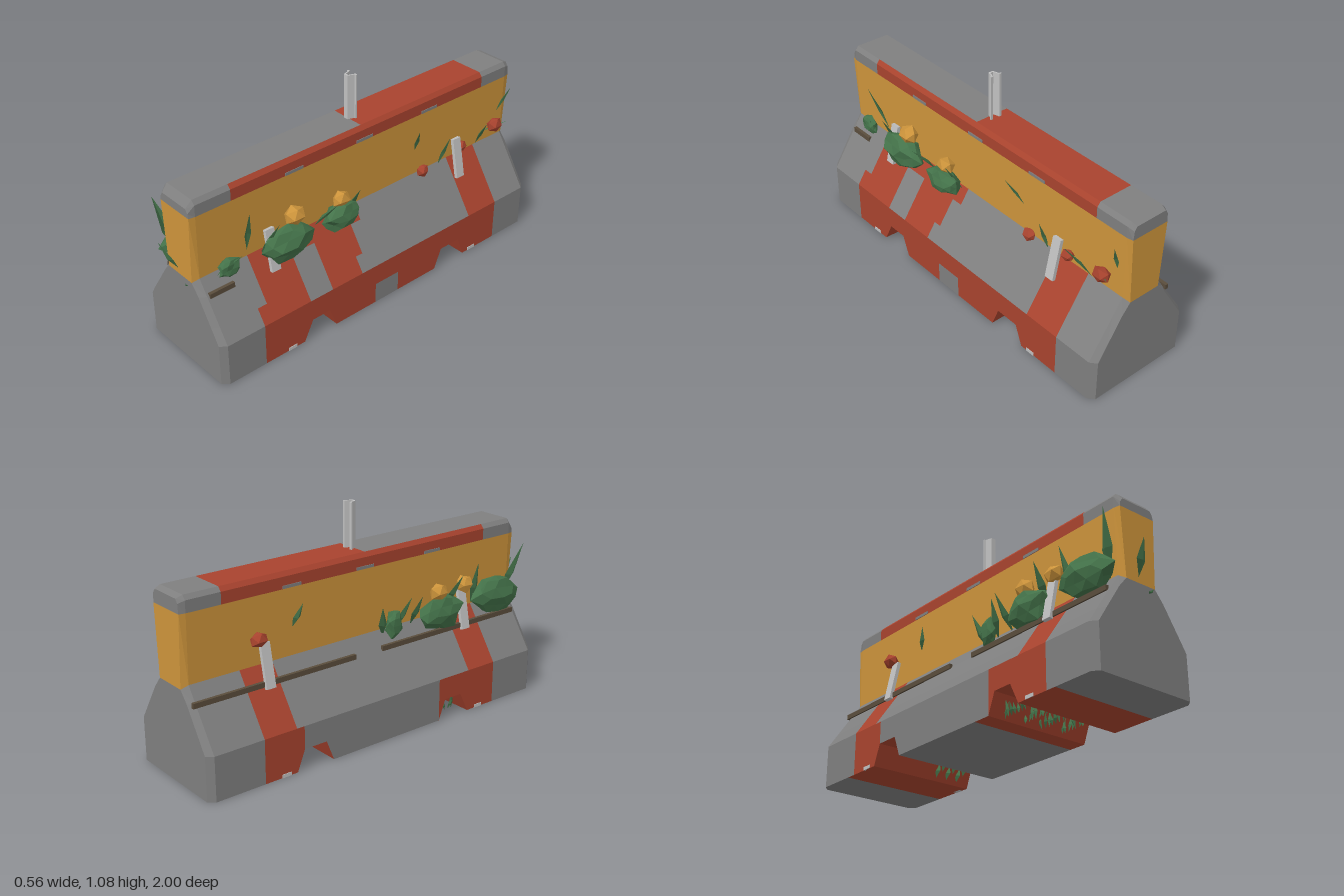
import * as THREE from 'three';

const mat = (name, color, extra = {}) =>
  new THREE.MeshStandardMaterial({ name, color, flatShading: true, side: THREE.DoubleSide, ...extra });
const M = {
  concrete: mat('concrete grey', 0x7f7f7f),
  red: mat('red paint', 0xa8432e),
  orange: mat('orange paint', 0xcd943b),
  green: mat('leaf green', 0x44734a),
  metal: mat('pale metal', 0xc0c0c0),
  brown: mat('rusty brown', 0x5a4d3c),
};

function add(parent, name, geometry, material, x = 0, y = 0, z = 0) {
  const mesh = new THREE.Mesh(geometry, material);
  mesh.name = name;
  mesh.position.set(x, y, z);
  parent.add(mesh);
  return mesh;
}

// Half cross-section from the foot to the crown, and how far each point draws in at the ends
const PROFILE = [[0.275, 0], [0.275, 0.105], [0.275, 0.21], [0.228, 0.28], [0.147, 0.4],
  [0.1, 0.47], [0.105, 0.785], [0.105, 0.84], [0.088, 0.86]];
const INSET = [0.025, 0.025, 0.025, 0.023, 0.02, 0.017, 0.006, 0.01, 0.006];
const STATIONS = [-1, -0.97, -0.8, -0.77, -0.72, -0.58, -0.55, -0.51, -0.39, -0.35, -0.1, -0.02, 0.03,
  0.045, 0.09, 0.13, 0.2, 0.29, 0.31, 0.33, 0.43, 0.44, 0.48, 0.5, 0.65, 0.7, 0.72, 0.9, 0.93];

// Height of the underside: two drainage notches
function floorY(z) {
  const notch = (a, b, c, d) => (z <= a || z >= d ? 0 : z < b ? (z - a) / (b - a) : z > c ? (d - z) / (d - c) : 1);
  return 0.1 * Math.max(notch(-0.55, -0.51, -0.39, -0.35), notch(0.29, 0.33, 0.43, 0.48));
}

// Which paint covers a face, by profile row, side and position along the barrier
function paint(row, side, z) {
  const within = (a, b) => z > a && z < b;
  if (row === 'under') return within(-0.77, -0.35) || within(0.2, 0.7) ? 'red' : 'concrete';
  if (row === 'crown') return within(-0.8, -0.02) ? 'red' : 'concrete';
  if (row === 5) return 'orange';
  if (row > 5) return within(-0.8, 0.72) ? 'red' : 'concrete';
  let red;
  if (side > 0) {
    if (row === 0) red = within(-0.77, 0.7) && !within(-0.1, 0.045);
    else if (row === 1) red = within(-0.77, 0.7);
    else {
      const start = [0.13, 0.09, 0.03][row - 2];
      red = within(-0.77, -0.58) || within(start, row === 2 ? 0.7 : 0.65);
      if (row < 4 && within(0.31, 0.44)) red = false;
    }
  } else if (row < 2) red = within(-0.72, -0.51) || within(0.29, 0.65);
  else red = within(-0.72, -0.55) || within(0.48, 0.65);
  return red ? 'red' : 'concrete';
}

function barrier(group) {
  const faces = { concrete: [], red: [], orange: [] };
  const quad = (key, a, b, c, d) => faces[key].push(...a, ...b, ...c, ...a, ...c, ...d);
  const last = PROFILE.length - 1;
  const rings = STATIONS.map((z, i) => {
    const end = i === 0 || i === STATIONS.length - 1;
    const drop = end ? (z > 0 ? 0.034 : 0.012) : 0;
    const half = PROFILE.map(([x, y], k) => [
      x - (end ? INSET[k] : 0),
      k === 0 ? floorY(z) : k > 6 ? y - drop : end && k === 5 ? 0.452 : y, z]);
    return { right: half, left: half.map(([x, y]) => [-x, y, z]) };
  });
  for (let i = 0; i < rings.length - 1; i++) {
    const p = rings[i], q = rings[i + 1], z = (STATIONS[i] + STATIONS[i + 1]) / 2;
    for (let k = 0; k < last; k++) {
      quad(paint(k, 1, z), p.right[k], p.right[k + 1], q.right[k + 1], q.right[k]);
      quad(paint(k, -1, z), p.left[k + 1], p.left[k], q.left[k], q.left[k + 1]);
    }
    quad(paint('crown', 0, z), p.right[last], p.left[last], q.left[last], q.right[last]);
    quad(paint('under', 0, z), p.left[0], p.right[0], q.right[0], q.left[0]);
  }
  // End faces, row by row
  const back = rings[0], front = rings[rings.length - 1];
  for (let k = 0; k < last; k++) {
    const key = k === 5 ? 'orange' : 'concrete';
    quad(key, front.right[k], front.right[k + 1], front.left[k + 1], front.left[k]);
    quad(key, back.left[k], back.left[k + 1], back.right[k + 1], back.right[k]);
  }
  for (const key in faces) {
    const g = new THREE.BufferGeometry();
    g.setAttribute('position', new THREE.Float32BufferAttribute(faces[key], 3));
    g.computeVertexNormals();
    add(group, `barrierBody ${key}`, g, M[key]);
  }
}

// Irregular faceted lump for bushes and blossoms
function lump(parent, name, material, [x, y, z], [sx, sy, sz], detail, seed) {
  const g = new THREE.IcosahedronGeometry(1, detail);
  const p = g.attributes.position, v = new THREE.Vector3();
  for (let i = 0; i < p.count; i++) {
    v.fromBufferAttribute(p, i);
    v.multiplyScalar(1 + 0.2 * Math.sin(v.x * 4 + seed) * Math.cos(v.y * 5 + v.z * 3 + seed * 2));
    p.setXYZ(i, v.x * sx, v.y * sy, v.z * sz);
  }
  g.computeVertexNormals();
  add(parent, name, g, material, x, y, z);
}

// Pointed leaf with a raised midrib
function leaf(parent, base, tip, width, acrossX = false) {
  const a = new THREE.Vector3(...base), t = new THREE.Vector3(...tip);
  const side = acrossX ? new THREE.Vector3(width / 2, 0, 0) : new THREE.Vector3(0, 0, width / 2);
  const mid = a.clone().lerp(t, 0.42);
  const rib = mid.clone().add(side.clone().cross(t.clone().sub(a)).normalize().multiplyScalar(width * 0.3));
  const l = mid.clone().sub(side), r = mid.clone().add(side);
  const g = new THREE.BufferGeometry().setFromPoints([a, r, rib, r, t, rib, t, l, rib, l, a, rib]);
  g.computeVertexNormals();
  add(parent, 'leaf', g, M.green);
}

export function createModel() {
  const root = new THREE.Group();
  root.name = 'roadBarrier';
  barrier(root);

  // Lifting slots under the cap
  for (const s of [-1, 1]) for (const z of [0.38, -0.03, -0.44])
    add(root, 'liftingSlot', new THREE.BoxGeometry(0.006, 0.014, 0.1), M.concrete, s * 0.105, 0.793, z);

  // Channel-section sign post
  const channel = new THREE.Shape([[-0.03, 0.05], [-0.018, 0.05], [-0.008, 0.018], [0.008, 0.018], [0.018, 0.05],
    [0.03, 0.05], [0.03, 0.043], [0.022, 0.043], [0.012, 0.01], [-0.012, 0.01], [-0.022, 0.043], [-0.03, 0.043]]
    .map(([x, y]) => new THREE.Vector2(x, y)));
  add(root, 'signPost', new THREE.ExtrudeGeometry(channel, { depth: 0.23, bevelEnabled: false }), M.metal, 0, 0.85, 0)
    .rotation.x = -Math.PI / 2;

  // Torn metal straps and their feet
  for (const s of [-1, 1]) for (const z of [-0.61, 0.55]) {
    add(root, 'strap', new THREE.BoxGeometry(0.018, 0.205, 0.048), M.metal, s * 0.15, 0.48, z).rotation.z = s * 0.2;
    add(root, 'strapFoot', new THREE.BoxGeometry(0.02, 0.016, 0.048), M.metal, s * 0.268, 0.008, z);
  }

  // Rusty rods lying on the shoulder
  for (const [x, z0, z1] of [[-0.155, -0.99, -0.13], [-0.155, 0.03, 0.89], [0.148, 0.76, 0.89]])
    add(root, 'rod', new THREE.BoxGeometry(0.016, 0.024, z1 - z0), M.brown, x, 0.4, (z0 + z1) / 2);

  // Bushes
  const plants = new THREE.Group();
  plants.name = 'plants';
  root.add(plants);
  [
    [[0.155, 0.485, 0.46], [0.06, 0.085, 0.135]],
    [[0.15, 0.48, 0.15], [0.055, 0.065, 0.1]],
    [[0.135, 0.485, 0.77], [0.025, 0.045, 0.055]],
    [[-0.145, 0.49, 0.41], [0.055, 0.085, 0.13]],
    [[-0.15, 0.505, 0.77], [0.058, 0.1, 0.14]],
    [[-0.135, 0.49, 0.12], [0.03, 0.07, 0.045]],
  ].forEach(([p, s], i) => lump(plants, 'bush', M.green, p, s, 1, i * 1.7 + 1));

  // Blossoms
  [
    ['orange', [0.15, 0.6, 0.42], 0.055], ['orange', [0.145, 0.565, 0.15], 0.05],
    ['orange', [-0.15, 0.595, 0.39], 0.05], ['orange', [-0.14, 0.6, 0.56], 0.05],
    ['red', [0.14, 0.56, -0.88], 0.045], ['red', [0.11, 0.47, -0.41], 0.035],
    ['red', [0.12, 0.515, -0.665], 0.035], ['red', [-0.14, 0.6, -0.64], 0.045],
  ].forEach(([c, p, r], i) => lump(plants, 'blossom', M[c], p, [r * 0.8, r * 0.85, r], 0, i * 2.3));

  // Leaves against the walls: side, base y, base z, tip x, tip y, tip z, width
  for (const [s, y0, z0, x1, y1, z1, w] of [
    [1, 0.5, 0.65, 0.19, 0.75, 0.69, 0.035], [1, 0.44, 0.58, 0.21, 0.64, 0.55, 0.04],
    [1, 0.45, 0.27, 0.25, 0.63, 0.26, 0.045], [1, 0.44, 0.07, 0.2, 0.61, 0.08, 0.04],
    [1, 0.6, -0.36, 0.18, 0.75, -0.31, 0.03], [1, 0.45, -0.52, 0.17, 0.63, -0.53, 0.035],
    [1, 0.47, -0.79, 0.22, 0.65, -0.73, 0.035], [1, 0.6, -0.93, 0.16, 0.75, -0.96, 0.03],
    [1, 0.43, 0.83, 0.17, 0.54, 0.72, 0.05], [1, 0.52, -0.83, 0.17, 0.57, -0.94, 0.03],
    [-1, 0.47, 0.86, 0.19, 0.75, 0.92, 0.06], [-1, 0.47, 0.65, 0.17, 0.7, 0.63, 0.05],
    [-1, 0.45, 0.25, 0.2, 0.62, 0.24, 0.045], [-1, 0.43, 0.08, 0.16, 0.6, 0.03, 0.05],
    [-1, 0.45, 0.15, 0.18, 0.62, 0.19, 0.05], [-1, 0.6, -0.44, 0.13, 0.71, -0.4, 0.04],
    [-1, 0.5, 0.48, 0.2, 0.67, 0.5, 0.05],
  ]) leaf(plants, [s * 0.1, y0, z0], [s * x1, y1, z1], w);
  leaf(plants, [-0.01, 0.48, 0.93], [-0.04, 0.63, 1.0], 0.05, true);
  leaf(plants, [0.045, 0.42, 0.93], [0.06, 0.44, 0.945], 0.02, true);

  // Grass growing inside the notches
  for (let i = 0; i < 28; i++) {
    const x = -0.2 + ((i * 7) % 28) * 0.0148, z = 0.31 + ((i * 5) % 14) * 0.011;
    leaf(plants, [x, 0, z], [x + 0.02 * Math.sin(i * 3), 0.07 + 0.02 * Math.sin(i), z + 0.02 * Math.cos(i * 2)], 0.024);
  }
  for (let i = 0; i < 6; i++) {
    const x = 0.02 + i * 0.03, z = i % 2 ? -0.5 : -0.41;
    leaf(plants, [x, 0, z], [x + 0.01, 0.07, z + 0.015], 0.04);
  }
  return root;
}
